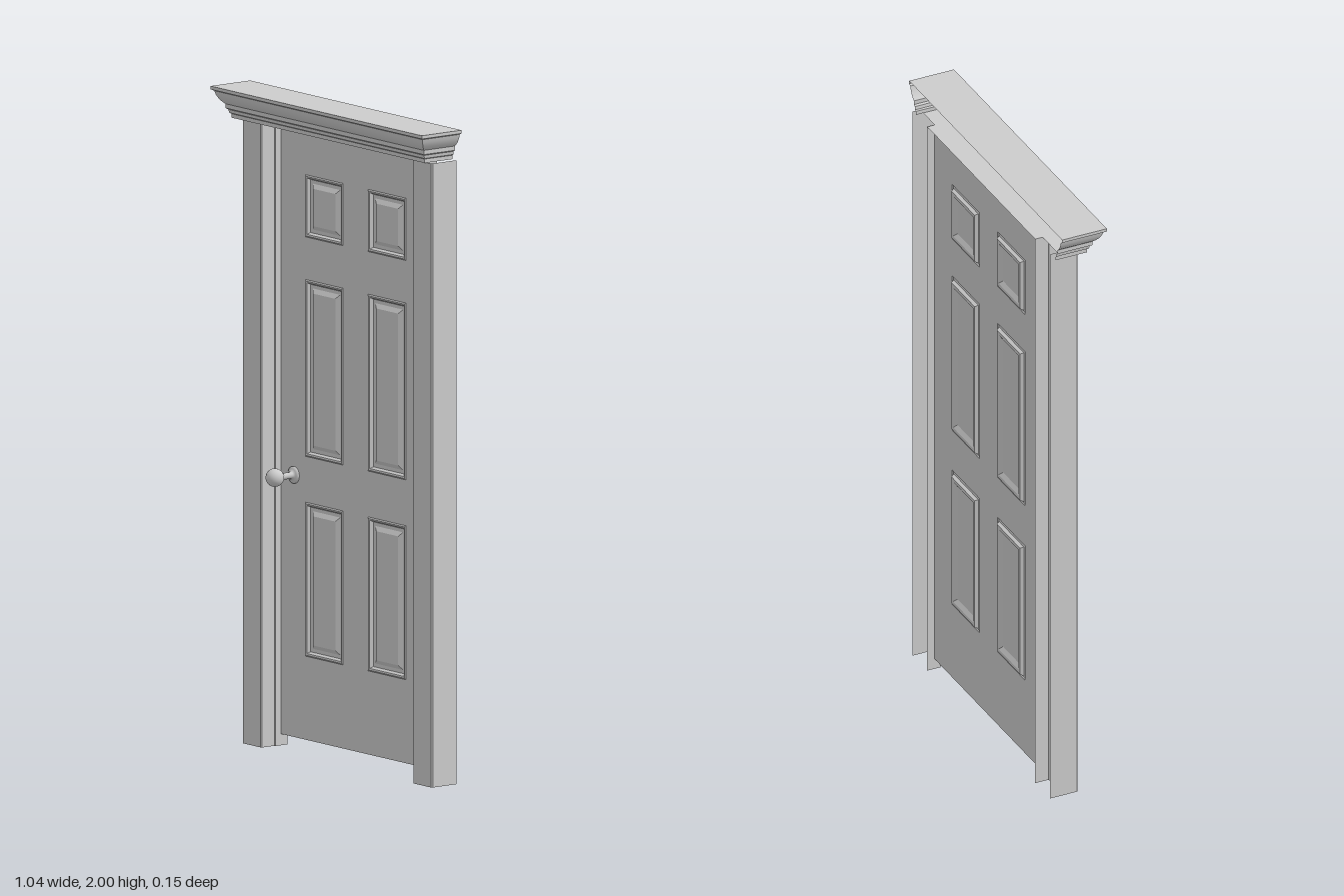
import * as THREE from 'three';
import { toCreasedNormals } from 'three/addons/utils/BufferGeometryUtils.js';

const grey = new THREE.MeshStandardMaterial({ color: 0xcccccc, side: THREE.DoubleSide });
const DOOR_Z = -0.05;

// Skins a list of cross-sections, each with the same number of [x, y, z] points
function loft(rows, closed = false) {
  const n = rows[0].length, index = [];
  for (let r = 0; r < rows.length - 1; r++) {
    for (let i = 0; i < (closed ? n : n - 1); i++) {
      const j = (i + 1) % n;
      const a = r * n + i, b = r * n + j, c = a + n, d = b + n;
      index.push(a, b, d, a, d, c);
    }
  }
  const g = new THREE.BufferGeometry();
  g.setAttribute('position', new THREE.Float32BufferAttribute(rows.flat(2), 3));
  g.setIndex(index);
  return toCreasedNormals(g, 0.5);
}

function add(parent, name, geometry) {
  const mesh = new THREE.Mesh(geometry, grey);
  mesh.name = name;
  parent.add(mesh);
  return mesh;
}

// Corners of a rectangle inset by d, counter-clockwise
const rect = (x0, x1, y0, y1, d = 0) =>
  [[x0 + d, y0 + d], [x1 - d, y0 + d], [x1 - d, y1 - d], [x0 + d, y1 - d]];

const toPath = (pts, Type) => new Type(pts.map(p => new THREE.Vector2(...p)));

// Thin door leaf with six sunk and raised panels
function createDoor() {
  const door = new THREE.Group();
  door.name = 'door';
  const leaf = toPath(rect(-0.336, 0.397, 0.035, 1.905), THREE.Shape);
  // inset and height of the panel moulding
  const relief = [[0, 0], [0.004, 0.003], [0.009, 0.001], [0.014, -0.009], [0.025, -0.009], [0.038, 0]];
  for (const [x0, x1] of [[-0.215, -0.03], [0.093, 0.278]]) {
    for (const [y0, y1] of [[0.29, 0.76], [0.9, 1.44], [1.57, 1.76]]) {
      leaf.holes.push(toPath(rect(x0, x1, y0, y1).reverse(), THREE.Path));
      const rows = relief.map(([d, h]) => rect(x0, x1, y0, y1, d).map(([x, y]) => [x, y, DOOR_Z + h]));
      add(door, 'panelMoulding', loft(rows, true));
      const field = toPath(rect(x0, x1, y0, y1, 0.038), THREE.Shape);
      add(door, 'panelField', new THREE.ShapeGeometry(field)).position.z = DOOR_Z;
    }
  }
  add(door, 'doorLeaf', new THREE.ShapeGeometry(leaf)).position.z = DOOR_Z;

  // Rosette, neck and ball turned as one piece
  const profile = [[0.026, 0], [0.026, 0.004], [0.02, 0.008], [0.01, 0.011], [0.01, 0.045]];
  for (let i = 1; i <= 10; i++) {
    const a = 0.35 + (Math.PI - 0.35) * i / 10;
    profile.push([Math.max(0, 0.028 * Math.sin(a)), 0.073 - 0.028 * Math.cos(a)]);
  }
  const knob = new THREE.LatheGeometry(profile.map(p => new THREE.Vector2(...p)), 24);
  knob.rotateX(Math.PI / 2);
  add(door, 'doorKnob', knob).position.set(-0.27, 0.835, DOOR_Z);
  return door;
}

// Side post: a channel open at the back, with a small stop beside the door
function createJamb(name, outer, inner) {
  const s = Math.sign(inner - outer);
  const section = [
    [outer, -0.075], [outer, 0.016], [outer + s * 0.004, 0.02], [inner - s * 0.003, 0.02],
    [inner, 0.017], [inner, -0.03], [inner + s * 0.005, -0.03], [inner + s * 0.005, -0.075],
  ];
  const rows = [0, 1.905].map(y => section.map(([x, z]) => [x, y, z]));
  const mesh = new THREE.Mesh(loft(rows), grey);
  mesh.name = name;
  return mesh;
}

// Hollow cornice with mitred returns, open at the back
function createCornice() {
  const cornice = new THREE.Group();
  cornice.name = 'cornice';
  const profile = [
    [0.075, 2], [0.075, 1.99], [0.067, 1.986], [0.064, 1.975], [0.058, 1.963], [0.05, 1.953],
    [0.043, 1.947], [0.043, 1.934], [0.037, 1.93], [0.035, 1.92], [0.03, 1.917], [0.03, 1.905],
  ];
  const rows = profile.map(([z, y]) => {
    const w = 0.443 + z;
    return [[-w, y, -0.075], [-w, y, z], [w, y, z], [w, y, -0.075]];
  });
  add(cornice, 'corniceMoulding', loft(rows));

  const sheet = (name, x0, x1, y, z0, z1) => add(cornice, name,
    loft([[[x0, y, z0], [x0, y, z1]], [[x1, y, z0], [x1, y, z1]]]));
  sheet('corniceTop', -0.518, 0.518, 2, -0.075, 0.075);
  sheet('corniceSoffit', -0.473, 0.473, 1.905, DOOR_Z, 0.03);
  sheet('headJamb', -0.335, 0.395, 1.905, -0.075, DOOR_Z);
  return cornice;
}

export function createModel() {
  const model = new THREE.Group();
  model.name = 'panelledDoor';
  model.add(
    createDoor(),
    createJamb('rightJamb', -0.435, -0.34),
    createJamb('leftJamb', 0.495, 0.402),
    createCornice(),
  );
  return model;
}
